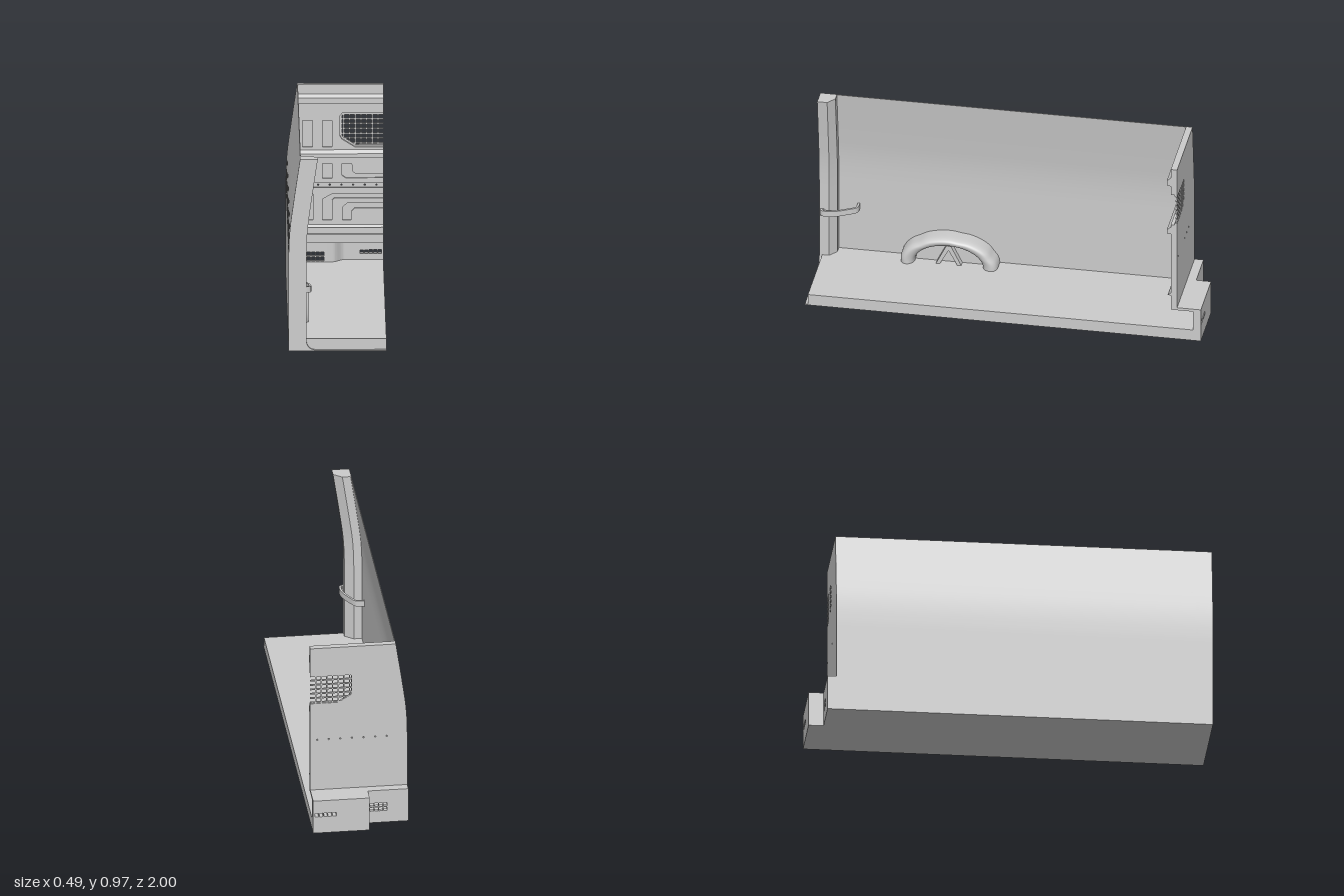
import * as THREE from 'three';
import { toCreasedNormals } from 'three/addons/utils/BufferGeometryUtils.js';

const HALF = 0.243, TOP = 0.973;
const material = new THREE.MeshStandardMaterial({ color: 0xcccccc, side: THREE.DoubleSide });

// x of the outer side wall at height y: upright below, leaning inwards above
const lean = new THREE.SplineCurve([[0.48, -0.243], [0.56, -0.2405], [0.64, -0.234], [0.74, -0.2205],
  [0.85, -0.2045], [TOP, -0.186]].map(p => new THREE.Vector2(...p))).getPoints(40);
function wallX(y) {
  if (y <= lean[0].x) return -HALF;
  for (let i = 1; i < lean.length; i++) {
    const a = lean[i - 1], b = lean[i];
    if (y <= b.x) return a.y + (b.y - a.y) * (y - a.x) / (b.x - a.x);
  }
  return lean[lean.length - 1].y;
}

const polygon = pts => new THREE.Shape(pts.map(p => new THREE.Vector2(...p)));
const rect = (x0, x1, y0, y1) => [[x0, y0], [x1, y0], [x1, y1], [x0, y1]];

// upright plate: xy shape between two depths
function plate(shape, z0, z1) {
  return new THREE.ExtrudeGeometry(shape, { depth: z1 - z0, bevelEnabled: false, curveSegments: 10 }).translate(0, 0, z0);
}
// horizontal slab: xz outline between two heights
function slab(pts, y0, y1, steps = 1) {
  const shape = polygon(pts.map(([x, z]) => [x, -z]));
  return new THREE.ExtrudeGeometry(shape, { depth: y1 - y0, steps, bevelEnabled: false })
    .rotateX(-Math.PI / 2).translate(0, y0, 0);
}
// shift every vertex sideways so the part follows the leaning wall
function followWall(geometry) {
  const p = geometry.attributes.position;
  for (let i = 0; i < p.count; i++) p.setX(i, p.getX(i) + wallX(p.getY(i)));
  geometry.computeVertexNormals();
  return toCreasedNormals(geometry, 0.4);
}

export function createModel() {
  const model = new THREE.Group();
  const add = (name, geometry, parent = model) => {
    const mesh = new THREE.Mesh(geometry, material);
    mesh.name = name;
    parent.add(mesh);
    return mesh;
  };
  const group = name => {
    const g = new THREE.Group();
    g.name = name;
    model.add(g);
    return g;
  };

  // Floor, stepped at the rear
  const STEP = -0.04, SHALLOW = -0.925;
  add('floor', slab([[-HALF, 0.985], [HALF, 0.985], [HALF, -1], [STEP, -1], [STEP, SHALLOW], [-HALF, SHALLOW]], 0, 0.06));

  // Side wall and front pillar
  add('sideWall', followWall(slab([[0, 0.99], [0.004, 0.99], [0.004, -0.88], [0, -0.88]], 0, TOP, 48)));
  add('frontPillar', followWall(slab([[0, 1], [0.088, 1], [0.088, 0.95], [0.045, 0.916], [0, 0.916]], 0.0, TOP, 48)));

  // Front sill with a rounded corner into the pillar
  const sill = polygon([[-HALF, 0], [HALF, 0], [HALF, 0.006], [-0.105, 0.006]]);
  sill.quadraticCurveTo(-0.155, 0.006, -0.155, 0.06);
  sill.lineTo(-HALF, 0.06);
  add('frontSill', plate(sill, 0.984, 1));

  // Grab handle: bowed ribbon from pillar to wall
  const bow = new THREE.SplineCurve([[-0.24, 0.81], [-0.195, 0.815], [-0.165, 0.86], [-0.14, 0.91], [-0.131, 0.95],
    [-0.134, 0.985], [-0.158, 0.998]].map(p => new THREE.Vector2(...p)));
  const outer = bow.getPoints(30).map(p => [p.x, p.y]);
  const inner = bow.getPoints(30).map((p, i) => {
    const t = bow.getTangent(i / 30);
    return [p.x - t.y * 0.011, p.y + t.x * 0.011 - (i > 27 ? 0.008 : 0)];
  }).reverse();
  add('grabHandle', toCreasedNormals(slab([...outer, ...inner], 0.296, 0.326), 0.6));

  // Wheel arch: half ring with soft dents, a recessed face and struts
  const arch = group('wheelArch');
  const section = new THREE.SplineCurve([[1, -0.242], [1, -0.185], [0.975, -0.157], [0.91, -0.142], [0.82, -0.143],
    [0.74, -0.155], [0.7, -0.18], [0.69, -0.215]].map(p => new THREE.Vector2(...p)));
  const ring = new THREE.LatheGeometry(section.getPoints(24), 72, Math.PI / 2, Math.PI);
  // lathe axis y becomes x; the half circle stands upright
  const rp = ring.attributes.position;
  for (let i = 0; i < rp.count; i++) {
    const r = Math.hypot(rp.getX(i), rp.getZ(i));
    const a = Math.PI * Math.floor(i / 25) / 72;
    const dent = 1 - 0.022 * Math.pow(Math.abs(Math.cos(a * 3.5)), 8) * (r > 0.8 ? 1 : 0);
    rp.setXYZ(i, rp.getY(i), 0.058 + Math.sin(a) * r * dent * 0.16, 0.35 + Math.cos(a) * r * dent * 0.247);
  }
  ring.computeVertexNormals();
  add('archRing', ring, arch);
  const face = new THREE.CircleGeometry(1, 40, 0, Math.PI).rotateY(Math.PI / 2).scale(1, 0.115, 0.175);
  add('archFace', face.translate(-0.205, 0.058, 0.35), arch);
  for (const s of [-1, 1]) {
    const strut = polygon([[0, 0.165], [s * 0.012, 0.165], [s * 0.065, 0.058], [s * 0.045, 0.058], [0, 0.14]]);
    const g = plate(strut, 0, 0.035).rotateY(Math.PI / 2);
    add('archStrut', g.translate(-0.207, 0, 0.35), arch);
  }

  // Bulkhead: backing sheet plus a front sheet with pressed pockets
  const bulkhead = group('bulkhead');
  const EDGE = 0.242, LOW = 0.172;
  const windowEdge = [[HALF, 0.655], [0.1, 0.655], [0.036, 0.695], [0.027, 0.71], [0.027, 0.812], [0.04, 0.828], [HALF, 0.828]];
  const outline = () => {
    const left = [];
    for (let i = 0; i <= 24; i++) {
      const y = TOP + (LOW - TOP) * i / 24;
      left.push([wallX(y) + 0.001, y]);
    }
    return polygon([[HALF, LOW], ...windowEdge, [HALF, TOP], ...left]);
  };
  const back = outline();
  for (let i = 0; i < 7; i++) {
    back.holes.push(new THREE.Path().absarc(-0.14 + 0.058 * i, 0.46, 0.004, 0, Math.PI * 2));
  }
  add('backSheet', plate(back, -0.88, -0.86), bulkhead);

  const front = outline();
  const pockets = [
    rect(-0.16, -0.11, 0.655, 0.79), rect(-0.06, -0.012, 0.655, 0.79),
    rect(-0.155, -0.108, 0.495, 0.57), rect(-0.06, -0.012, 0.495, 0.57),
    rect(-0.155, -0.108, 0.285, 0.415),
    [[0.038, 0.57], [0.085, 0.57], [0.087, 0.532], [0.105, 0.517], [EDGE, 0.517], [EDGE, 0.498], [0.055, 0.498], [0.038, 0.51]],
    [[-0.06, 0.285], [-0.06, 0.39], [-0.015, 0.415], [EDGE, 0.415], [EDGE, 0.396], [0, 0.396], [-0.012, 0.385], [-0.012, 0.285]],
    [[0.04, 0.285], [0.04, 0.35], [0.065, 0.372], [EDGE, 0.372], [EDGE, 0.345], [0.1, 0.345], [0.085, 0.33], [0.085, 0.285]],
    rect(-0.22, EDGE, 0.448, 0.474), rect(-0.22, EDGE, 0.212, 0.245),
  ];
  for (const p of pockets) front.holes.push(new THREE.Path(p.map(q => new THREE.Vector2(...q))));
  add('pressedSheet', plate(front, -0.86, -0.848), bulkhead);

  // Cross ribs: sloping top, sharp underside
  for (const [y0, y1] of [[0.875, 0.925], [0.6, 0.642], [0.246, 0.262]]) {
    const d = Math.min(0.02, y1 - y0);
    const x0 = wallX(y1) + 0.004;
    const profile = polygon([[0.85, y0], [0.848 - d, y0 + 0.004], [0.848 - d, y1 - d * 0.9], [0.85, y1]]);
    const g = new THREE.ExtrudeGeometry(profile, { depth: HALF - x0, bevelEnabled: false });
    add('crossRib', g.rotateY(Math.PI / 2).translate(x0, 0, 0), bulkhead);
  }

  // Window grille, bars clipped to the slanted lower corner
  const grille = group('windowGrille');
  const bar = (x0, x1, y0, y1) => add('grilleBar', plate(polygon(rect(x0, x1, y0, y1)), -0.88, -0.872), grille);
  const slantY = x => Math.max(0.655, 0.7 - (x - 0.027) * 0.62);
  for (let x = 0.046; x < HALF; x += 0.0283) bar(x - 0.003, x + 0.003, slantY(x), 0.828);
  for (let y = 0.67; y < 0.828; y += 0.0245) bar(y < 0.7 ? 0.027 + (0.7 - y) / 0.62 : 0.027, HALF, y - 0.003, y + 0.003);
  const rim = polygon([...windowEdge, [HALF, 0.819], [0.046, 0.819], [0.036, 0.809], [0.036, 0.712], [0.042, 0.702], [0.103, 0.664], [HALF, 0.664]]);
  add('grilleRim', plate(rim, -0.88, -0.866), grille);

  // Rear box: vented back walls around a stepped alcove
  const box = group('rearBox');
  const vented = (name, x0, x1, z0, z1, vx, vy, columns, rows) => {
    const wall = polygon(rect(x0, x1, 0.06, 0.166));
    for (let i = 0; i < columns; i++) for (let j = 0; j < rows; j++) {
      const x = vx + i * 0.0222, y = vy + j * 0.0245;
      wall.holes.push(new THREE.Path(rect(x, x + 0.0185, y, y + 0.0195).map(p => new THREE.Vector2(...p))));
    }
    add(name, plate(wall, z0, z1), box);
  };
  vented('shallowVentWall', -0.2, STEP, SHALLOW, -0.905, -0.137, 0.065, 4, 2);
  vented('deepVentWall', 0.05, HALF, -1, -0.96, 0.127, 0.09, 5, 1);
  const bend = [];
  for (let i = 0; i <= 12; i++) {
    const t = i / 12;
    bend.push([0.05 - 0.06 * t, -0.96 + 0.055 * (0.5 - 0.5 * Math.cos(Math.PI * t))]);
  }
  add('alcoveStep', toCreasedNormals(slab([[STEP, -1], [0.05, -1], ...bend, [STEP, -0.905]], 0.06, 0.166), 0.5), box);
  add('alcoveCorner', slab([[-HALF, SHALLOW], [-0.14, SHALLOW], [-0.14, -0.88], [-0.155, -0.855], [-0.18, -0.845], [-HALF, -0.845]], 0.06, 0.18), box);
  add('boxRoof', slab([[-HALF, -0.85], [HALF, -0.85], [HALF, -1], [STEP, -1], [STEP, SHALLOW], [-HALF, SHALLOW]], 0.166, 0.18), box);

  return model;
}
